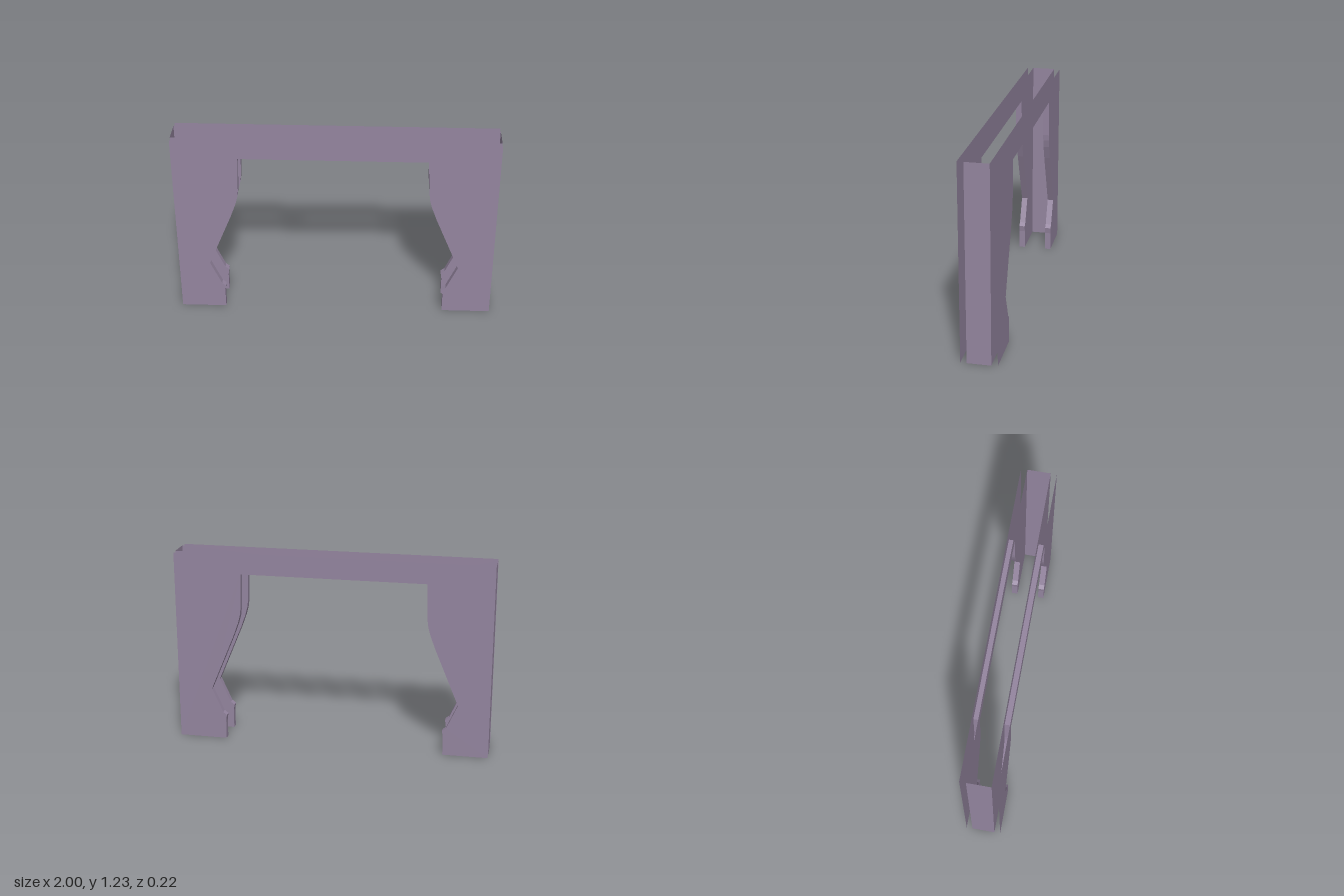
import * as THREE from 'three';

const TOP = 1.23, INNER_Z = 0.073, OUTER_Z = 0.111;

// Opening edge of one leg, foot to lintel, measured from the opening's centre line
const CENTRE = -0.011;
const LEG = [
  [0.704, 0], [0.704, 0.12], [0.698, 0.16], [0.69, 0.18], [0.792, 0.337],
  [0.64, 0.70], [0.607, 0.79], [0.594, 0.84], [0.589, 0.88], [0.582, 1.11],
];
LEG[3] = [0.722, 0.18];

const material = new THREE.MeshStandardMaterial({ color: 0x94859f, side: THREE.DoubleSide });

function add(group, name, geometry) {
  const mesh = new THREE.Mesh(geometry, material);
  mesh.name = name;
  group.add(mesh);
  return mesh;
}

// Open ribbon running along the opening, spanning two depths
function ribbon(points, z0, z1) {
  const positions = [];
  for (let i = 0; i < points.length - 1; i++) {
    const [ax, ay] = points[i], [bx, by] = points[i + 1];
    positions.push(ax, ay, z0, bx, by, z0, bx, by, z1);
    positions.push(ax, ay, z0, bx, by, z1, ax, ay, z1);
  }
  const geometry = new THREE.BufferGeometry();
  geometry.setAttribute('position', new THREE.Float32BufferAttribute(positions, 3));
  geometry.computeVertexNormals();
  return geometry;
}

export function createModel() {
  const model = new THREE.Group();
  model.name = 'archwayLining';

  const left = LEG.map(([x, y]) => [CENTRE - x, y]);
  const right = LEG.map(([x, y]) => [CENTRE + x, y]).reverse();
  const opening = [...left, ...right];

  // Flat sheet with the shaped opening cut out
  const outline = [[-1, 0], ...opening, [1, 0], [1, TOP], [-1, TOP]];
  const shape = new THREE.Shape(outline.map(([x, y]) => new THREE.Vector2(x, y)));

  // Front and back walls: two sheets each, joined only around the opening
  for (const side of [1, -1]) {
    const wall = new THREE.Group();
    wall.name = side > 0 ? 'frontWall' : 'backWall';
    for (const [name, z, facing] of [['outerSheet', OUTER_Z, side], ['innerSheet', INNER_Z, -side]]) {
      const geometry = new THREE.ShapeGeometry(shape);
      if (facing < 0) {
        // Reverse the winding so the sheet faces backwards
        geometry.index.array.reverse();
        geometry.computeVertexNormals();
      }
      add(wall, name, geometry).position.z = side * z;
    }
    const [zBack, zFront] = side > 0 ? [INNER_Z, OUTER_Z] : [-OUTER_Z, -INNER_Z];
    add(wall, 'openingEdge', ribbon(opening, zBack, zFront));
    model.add(wall);
  }

  // End panels closing the hollow between the inner sheets
  for (const side of [1, -1]) {
    const end = add(model, side > 0 ? 'leftEndPanel' : 'rightEndPanel',
      new THREE.PlaneGeometry(2 * INNER_Z, TOP));
    end.rotation.y = side * Math.PI / 2;
    end.position.set(side, TOP / 2, 0);
  }
  return model;
}
